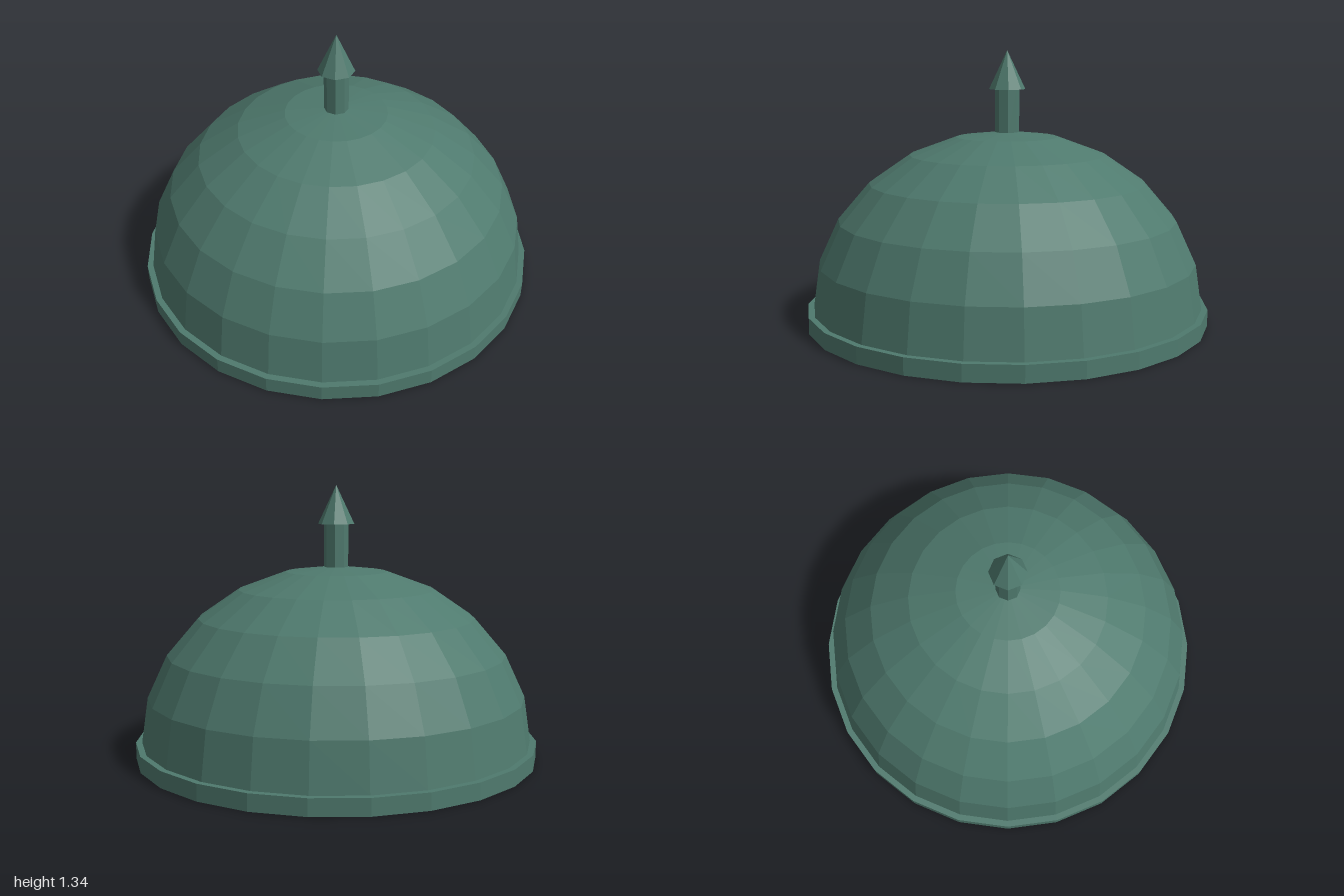
import * as THREE from 'three';

export function createModel() {
  const group = new THREE.Group();
  const material = new THREE.MeshStandardMaterial({ color: 0x4f7a6e, flatShading: true });

  const add = (name, geometry, y) => {
    const mesh = new THREE.Mesh(geometry, material);
    mesh.name = name;
    mesh.position.y = y;
    group.add(mesh);
    return mesh;
  };

  // Flat base ring, closed underneath
  add('baseRim', new THREE.CylinderGeometry(1, 1, 0.08, 24), 0.04);

  // Slightly flattened half sphere
  const dome = add('dome', new THREE.SphereGeometry(0.97, 24, 6, 0, Math.PI * 2, 0, Math.PI / 2), 0.08);
  dome.scale.y = 0.865 / 0.97;

  // Finial: post with a pointed cap
  add('finialPost', new THREE.CylinderGeometry(0.06, 0.06, 0.22, 8), 1.04);
  add('finialTip', new THREE.ConeGeometry(0.09, 0.19, 8), 1.245);

  return group;
}
